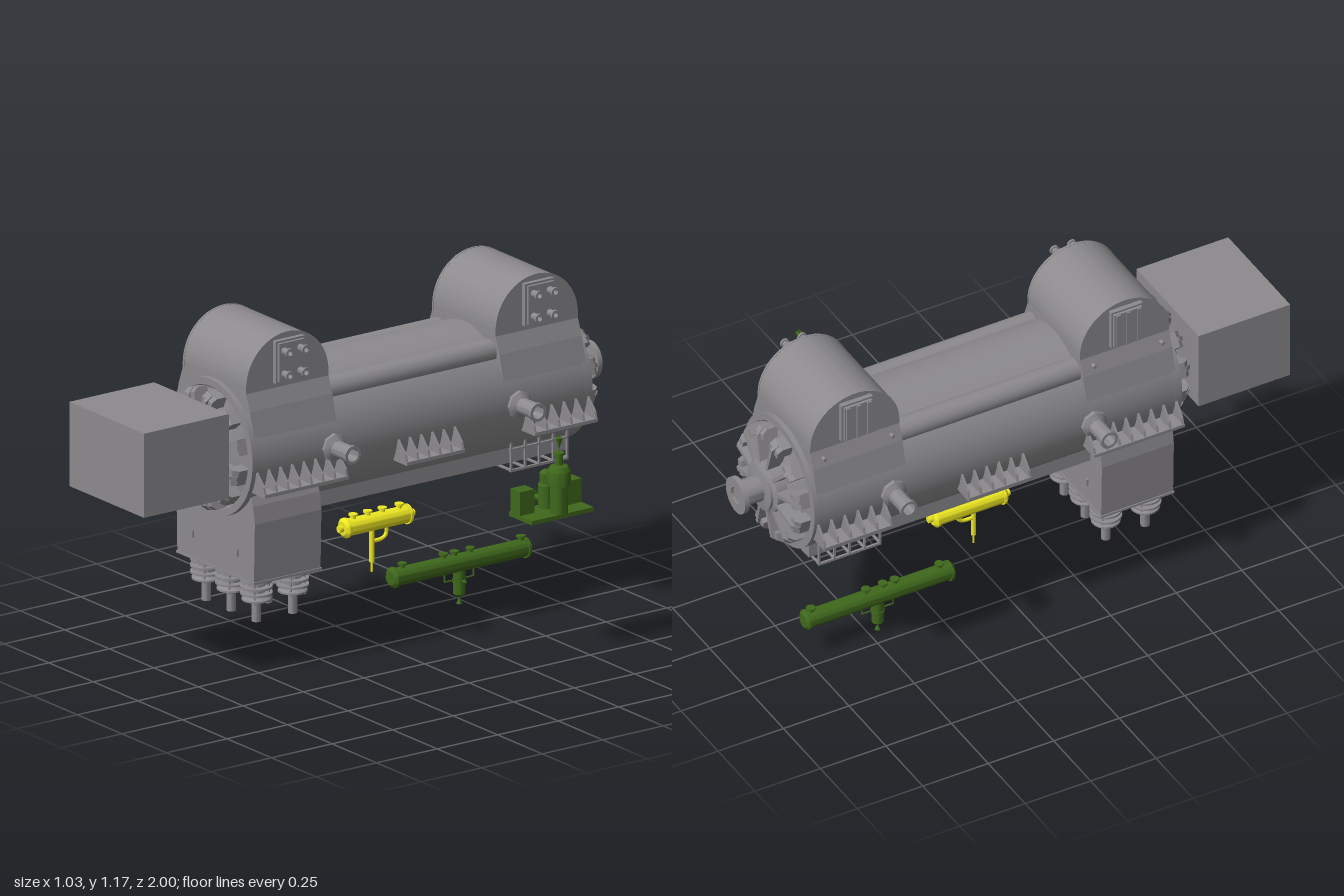
import * as THREE from 'three';
import { toCreasedNormals } from 'three/addons/utils/BufferGeometryUtils.js';

const AX = -0.175, AY = 0.76; // machine axis
const mat = (color) => new THREE.MeshStandardMaterial({ color, side: THREE.DoubleSide });
const STEEL = mat(0x8c8a8d), GREEN = mat(0x3f681c), YELLOW = mat(0xf0ea22);

function add(parent, name, geo, x = 0, y = 0, z = 0, m = STEEL) {
  const mesh = new THREE.Mesh(geo, m);
  mesh.name = name;
  mesh.position.set(x, y, z);
  parent.add(mesh);
  return mesh;
}
// box given by its limits
const block = (p, name, x0, x1, y0, y1, z0, z1, m) =>
  add(p, name, new THREE.BoxGeometry(x1 - x0, y1 - y0, z1 - z0), (x0 + x1) / 2, (y0 + y1) / 2, (z0 + z1) / 2, m);
// turned part: points are [radius, distance along axis]
function turned(p, name, pts, axis, x, y, z, m, seg = 32) {
  const geo = toCreasedNormals(new THREE.LatheGeometry(pts.map(q => new THREE.Vector2(...q)), seg), 0.6);
  const mesh = add(p, name, geo, x, y, z, m);
  if (axis === 'x') mesh.rotation.z = -Math.PI / 2;
  if (axis === '-x') mesh.rotation.z = Math.PI / 2;
  if (axis === 'z') mesh.rotation.x = Math.PI / 2;
  if (axis === '-z') mesh.rotation.x = -Math.PI / 2;
  if (axis === '-y') mesh.rotation.x = Math.PI;
  return mesh;
}
const rod = (p, name, r, len, axis, x, y, z, m, seg = 20) =>
  turned(p, name, [[0, 0], [r, 0], [r, len], [0, len]], axis, x, y, z, m, seg);
// profile drawn in xy, extruded along z
function slab(pts, depth) {
  const s = new THREE.Shape(pts.map(q => new THREE.Vector2(...q)));
  return new THREE.ExtrudeGeometry(s, { depth, bevelEnabled: false });
}

function casing(g) {
  rod(g, 'casing', 0.235, 1.38, 'z', AX, AY, -0.82, STEEL, 72);
  for (const s of [-1, 1]) {
    rod(g, 'topRidge', 0.042, 0.72, 'z', AX + s * 0.143, 0.928, -0.49);
    block(g, 'bottomRail', AX + s * 0.13 - 0.012, AX + s * 0.13 + 0.012, 0.52, 0.58, -0.8, 0.28);
    block(g, 'bottomStringer', AX + s * 0.045 - 0.006, AX + s * 0.045 + 0.006, 0.518, 0.54, -0.8, 0.28);
  }
  // framed underside
  for (let z = -0.8; z < 0.27; z += 0.08) block(g, 'bottomSlat', AX - 0.12, AX + 0.12, 0.518, 0.545, z, z + 0.012);
  // mounting feet with gusset ribs
  for (const [z0, z1] of [[-0.82, -0.56], [-0.27, -0.03], [0.21, 0.555]])
    for (const s of [-1, 1]) {
      const foot = new THREE.Group();
      foot.name = 'mountingFoot';
      foot.position.x = AX;
      block(foot, 'footPlate', Math.min(s * 0.2, s * 0.285), Math.max(s * 0.2, s * 0.285), 0.65, 0.662, z0, z1);
      const n = Math.round((z1 - z0) / 0.052);
      for (let i = 0; i <= n; i++)
        add(foot, 'footRib', slab([[s * 0.2, 0.65], [s * 0.285, 0.65], [s * 0.275, 0.685], [s * 0.222, 0.74]], 0.008),
          0, 0, z0 + i * (z1 - z0 - 0.008) / n);
      g.add(foot);
    }
  // side nozzles
  for (const z of [-0.53, 0.235]) for (const s of [-1, 1]) {
    turned(g, 'nozzleCollar', [[0.048, 0], [0.048, 0.04], [0.03, 0.052], [0, 0.052]], s > 0 ? 'x' : '-x',
      AX + s * 0.205, 0.755, z, STEEL, 8);
    turned(g, 'sideNozzle', [[0.028, 0], [0.028, 0.105], [0.032, 0.105], [0.032, 0.119], [0.022, 0.119], [0.022, 0.07], [0, 0.07]],
      s > 0 ? 'x' : '-x', AX + s * 0.225, 0.755, z);
  }
  // access frame under the rear
  for (const s of [-1, 1]) {
    for (const y of [0.502, 0.575]) block(g, 'accessRail', AX + s * 0.17 - 0.004, AX + s * 0.17 + 0.004, y - 0.004, y + 0.004, -0.78, -0.54);
    for (let i = 0; i < 5; i++) block(g, 'accessPost', AX + s * 0.17 - 0.004, AX + s * 0.17 + 0.004, 0.5, 0.61, -0.78 + i * 0.058, -0.773 + i * 0.058);
  }
  for (let i = 0; i < 5; i++) block(g, 'accessRung', AX - 0.17, AX + 0.17, 0.5, 0.507, -0.78 + i * 0.058, -0.773 + i * 0.058);
}

// open end shield with hub and radial spokes; dir is the outward z direction
function endShield(g, z, dir) {
  const e = new THREE.Group();
  e.name = 'endShield';
  e.position.set(AX, AY, z);
  if (dir < 0) e.rotation.y = Math.PI;
  turned(e, 'shieldHub', [[0.237, -0.02], [0.237, 0.012], [0.212, 0.012], [0.205, 0.004], [0.115, 0.02], [0.095, 0.03],
    [0.095, 0.072], [0.07, 0.086], [0, 0.086]], 'z', 0, 0, 0, STEEL, 48);
  // radial profile turned so that its height points outward along z
  const radial = (p, name, pts, w) => add(p, name, slab(pts, w).rotateX(Math.PI / 2), 0, w / 2);
  for (let i = 0; i < 12; i++) {
    const spoke = new THREE.Group();
    spoke.name = 'spoke';
    spoke.rotation.z = (i + 0.5) * Math.PI / 6;
    radial(spoke, 'spokeWeb', [[0.085, 0], [0.208, 0], [0.208, 0.05], [0.19, 0.072], [0.085, 0.076]], 0.014);
    radial(spoke, 'rimLug', [[0.17, 0], [0.208, 0], [0.208, 0.045], [0.194, 0.062], [0.17, 0.062]], 0.056);
    e.add(spoke);
  }
  g.add(e);
}

// arched cooler housing on a saddle
function cooler(g, zc) {
  const c = new THREE.Group();
  c.name = 'coolerHousing';
  c.position.set(AX, 0, zc);
  const arch = (r, y0, x0, x1, name) => {
    const s = new THREE.Shape();
    s.moveTo(-r, y0);
    s.lineTo(r, y0);
    s.absarc(0, 1.005, r, 0, Math.PI);
    const geo = toCreasedNormals(new THREE.ExtrudeGeometry(s, { depth: x1 - x0, bevelEnabled: false, curveSegments: 32 }), 0.5);
    geo.rotateY(Math.PI / 2);
    add(c, name, geo, x0);
  };
  arch(0.169, 0.9, -0.175, 0.175, 'coolerArch');
  arch(0.17, 0.96, 0.17, 0.178, 'archFlange');
  arch(0.17, 0.96, -0.178, -0.17, 'archFlange');
  add(c, 'saddle', slab([[-0.222, 0.84], [0.222, 0.84], [0.2, 0.93], [0.177, 0.99], [-0.177, 0.99], [-0.2, 0.93]], 0.34), 0, 0, -0.17);
  // stepped end covers
  for (const s of [-1, 1]) [[0.06, 0.074, 0.195], [0.053, 0.067, 0.205]].forEach(([w, h, x]) =>
    block(c, 'endCover', Math.min(s * 0.17, s * x), Math.max(s * 0.17, s * x), 1.08 - h, 1.08 + h, -w, w));
  for (const z of [-0.04, 0, 0.04]) block(c, 'coverRib', -0.21, -0.203, 1.015, 1.145, z - 0.008, z + 0.008);
  // water connections
  for (const y of [1.04, 1.12]) for (const z of [-0.033, 0.033])
    turned(c, 'waterPort', [[0.012, 0], [0.012, 0.03], [0.017, 0.03], [0.017, 0.038], [0.009, 0.038], [0.009, 0.01], [0, 0.01]],
      'x', 0.203, y, z, STEEL, 16);
  for (const z of [-0.13, 0.13]) rod(c, 'liftingPin', 0.007, 0.017, '-x', -0.193, 0.965, z, STEEL, 8);
  g.add(c);
}

function terminalBox(g) {
  add(g, 'terminalBox', slab([[-0.39, 0.33], [0.04, 0.33], [0.045, 0.54], [0.035, 0.6], [0.015, 0.65], [-0.365, 0.65], [-0.385, 0.6], [-0.395, 0.54]], 0.275), 0, 0, 0.275);
  block(g, 'terminalFlange', -0.394, 0.044, 0.328, 0.336, 0.272, 0.553);
  for (const x of [-0.3, -0.05]) for (const z of [0.268, 0.55]) block(g, 'boxLug', x - 0.004, x + 0.004, 0.405, 0.43, z, z + 0.007);
  // bushings with sheds
  const pts = [[0.03, 0]];
  for (const y of [0.012, 0.034, 0.056]) pts.push([0.03, y], [0.055, y], [0.055, y + 0.007], [0.03, y + 0.007]);
  pts.push([0.05, 0.078], [0.05, 0.084], [0.016, 0.084], [0.016, 0.16], [0, 0.16]);
  for (const x of [-0.315, AX, -0.035]) for (const z of [0.335, 0.485]) {
    turned(g, 'bushing', pts, '-y', x, 0.33, z, STEEL, 24);
    for (let i = 0; i < 4; i++) {
      const a = (i + 0.5) * Math.PI / 2;
      rod(g, 'bushingStud', 0.004, 0.092, '-y', x + 0.042 * Math.cos(a), 0.33, z + 0.042 * Math.sin(a), STEEL, 6);
    }
  }
}

function pumpSkid(g) {
  const p = new THREE.Group();
  p.name = 'pumpSkid';
  block(p, 'skidBase', 0.37, 0.5, 0.5, 0.515, -0.515, -0.26, GREEN);
  for (const z of [-0.515, -0.32]) block(p, 'controlBox', 0.378, 0.432, 0.512, 0.598, z, z + 0.06, GREEN);
  turned(p, 'pumpVessel', [[0.03, 0.515], [0.03, 0.61], [0.04, 0.612], [0.04, 0.662], [0.03, 0.678], [0.013, 0.682], [0.013, 0.715],
    [0.018, 0.716], [0.018, 0.725], [0, 0.725]], 'y', 0.475, 0, -0.39, GREEN, 24);
  turned(p, 'ventCone', [[0, 0.735], [0.012, 0.775], [0, 0.775]], 'y', 0.475, 0, -0.39, GREEN, 16);
  rod(p, 'ventStem', 0.002, 0.065, 'y', 0.475, 0.725, -0.39, GREEN, 8);
  turned(p, 'smallVessel', [[0.028, 0.515], [0.028, 0.595], [0.023, 0.6], [0.023, 0.635], [0.012, 0.645], [0, 0.645]], 'y', 0.403, 0, -0.39, GREEN, 24);
  turned(p, 'inletPipe', [[0, 0], [0.018, 0], [0.018, 0.007], [0.01, 0.007], [0.01, 0.055]], 'x', 0.338, 0.536, -0.39, GREEN, 16);
  g.add(p);
}

// horizontal vessel with flanged heads and top ports
function vessel(g, name, x, y, z0, z1, r, m, ports) {
  const v = new THREE.Group(), L = z1 - z0, f = r * 1.16, t = r * 0.3;
  v.name = name;
  turned(v, 'shell', [[0, 0], [r * 0.8, 0], [f, t], [f, 2 * t], [r, 2 * t], [r, L - 2 * t], [f, L - 2 * t], [f, L - t], [r * 0.8, L], [0, L]], 'z', x, y, z0, m, 28);
  for (const z of ports) turned(v, 'topPort', [[0.01, 0], [0.01, r + 0.008], [0.016, r + 0.008], [0.016, r + 0.014], [0, r + 0.014]], 'y', x, y, z, m, 14);
  g.add(v);
  return v;
}

function auxiliaries(g) {
  const tank = vessel(g, 'dryerTank', -0.165, 0.37, -0.245, 0.035, 0.03, YELLOW, [-0.2, -0.13, -0.07, -0.01]);
  for (const [z, a] of [[0.035, 'z'], [-0.245, '-z']]) rod(tank, 'endPort', 0.012, 0.015, a, -0.165, 0.37, z, YELLOW);
  rod(tank, 'drainPipe', 0.009, 0.12, '-y', -0.155, 0.355, -0.08, YELLOW);
  rod(tank, 'drainTip', 0.004, 0.04, '-y', -0.155, 0.24, -0.08, YELLOW, 8);
  const bend = new THREE.CatmullRomCurve3([[0.35, -0.14], [0.32, -0.138], [0.308, -0.12], [0.306, -0.08]].map(q => new THREE.Vector3(-0.155, ...q)));
  add(tank, 'branchPipe', new THREE.TubeGeometry(bend, 16, 0.007, 10), 0, 0, 0, YELLOW);
  rod(g, 'valve', 0.012, 0.03, 'z', AX + 0.02, 0.685, 0.63, YELLOW, 12);

  const cool = vessel(g, 'lowerTank', -0.188, 0.148, -0.75, -0.18, 0.031, GREEN, [-0.23, -0.4, -0.445, -0.51, -0.72]);
  turned(cool, 'drainPot', [[0.021, 0], [0.021, 0.06], [0.024, 0.06], [0.024, 0.068], [0.021, 0.068], [0.021, 0.108], [0.01, 0.118], [0, 0.118]], '-y', -0.188, 0.148, -0.465, GREEN, 20);
  turned(cool, 'drainCone', [[0, 0.026], [0.01, 0.005], [0, 0.005]], 'y', -0.188, 0, -0.465, GREEN, 12);
  rod(cool, 'drainStem', 0.002, 0.03, '-y', -0.188, 0.03, -0.465, GREEN, 8);
  rod(cool, 'sidePipe', 0.004, 0.04, 'x', -0.188, 0.088, -0.465, GREEN, 8);
  rod(cool, 'levelPipe', 0.003, 0.12, 'z', -0.188, 0.09, -0.525, GREEN, 8);
  for (const z of [-0.405, -0.525]) rod(cool, 'levelRiser', 0.003, 0.04, 'y', -0.188, 0.09, z, GREEN, 8);
}

export function createModel() {
  const g = new THREE.Group();
  g.name = 'generator';
  casing(g);
  endShield(g, 0.56, 1);
  endShield(g, -0.82, -1);
  cooler(g, 0.385);
  cooler(g, -0.645);
  terminalBox(g);
  block(g, 'exciterBox', -0.385, 0.035, 0.65, 0.945, 0.65, 1);
  block(g, 'bearingPedestal', -0.21, -0.14, 0.57, 0.645, 0.57, 0.635);
  // rear drive shaft
  turned(g, 'driveShaft', [[0.08, 0], [0.08, 0.02], [0.045, 0.025], [0.045, 0.09], [0.066, 0.092], [0.066, 0.11], [0.03, 0.11], [0.03, 0.1], [0, 0.1]], '-z', AX, AY, -0.89);
  pumpSkid(g);
  auxiliaries(g);
  return g;
}
